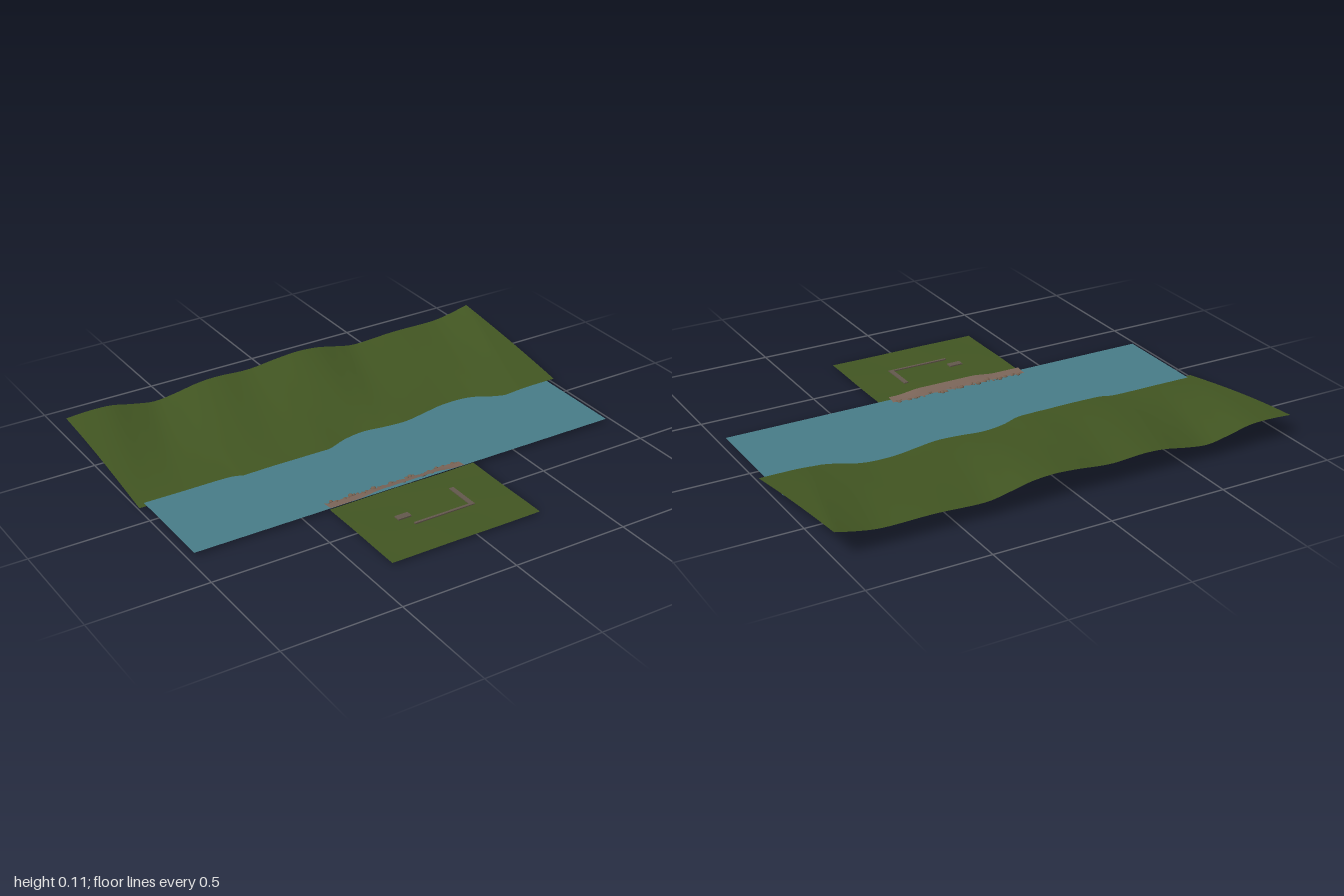
import * as THREE from 'three';

const WATER = 0.015;
const mat = (name, color, sheet) => {
  const m = new THREE.MeshStandardMaterial({ color });
  m.name = name;
  if (sheet) m.side = THREE.DoubleSide;
  return m;
};

// Smooth height lookup through a few [x, value] points
function curve(points) {
  const c = new THREE.SplineCurve(points.map(([x, y]) => new THREE.Vector2(x, y)));
  const table = c.getPoints(400);
  return (x) => {
    const i = Math.max(1, table.findIndex((p) => p.x >= x));
    if (x >= table[400].x) return table[400].y;
    const a = table[i - 1], b = table[i];
    return a.y + (b.y - a.y) * THREE.MathUtils.clamp((x - a.x) / (b.x - a.x || 1), 0, 1);
  };
}

// Flat grid whose vertices are raised by a rule
function terrain(x0, x1, z0, z1, nx, nz, height) {
  const g = new THREE.PlaneGeometry(x1 - x0, z1 - z0, nx, nz);
  g.rotateX(-Math.PI / 2);
  g.translate((x0 + x1) / 2, 0, (z0 + z1) / 2);
  const p = g.attributes.position;
  for (let i = 0; i < p.count; i++) p.setY(i, height(p.getX(i), p.getZ(i)));
  g.computeVertexNormals();
  return g;
}

export function createModel() {
  const group = new THREE.Group();
  const grass = mat('grass green', 0x425622, true);
  const water = mat('river blue', 0x487d88, true);
  const earth = mat('bank brown', 0x7c665a, true);
  const stone = mat('stone brown', 0x76604f);
  const wall = mat('wall grey', 0x63584c);

  const add = (name, geometry, material, parent = group) => {
    const mesh = new THREE.Mesh(geometry, material);
    mesh.name = name;
    parent.add(mesh);
    return mesh;
  };

  let seed = 7;
  const rand = () => {
    seed = (seed * 16807) % 2147483647;
    return seed / 2147483647;
  };

  // Far hillside: rises from the shoreline to a wavy crest
  const crest = curve([[-1, 0.098], [-0.9, 0.104], [-0.8, 0.101], [-0.7, 0.08], [-0.6, 0.064],
    [-0.5, 0.075], [-0.4, 0.093], [-0.3, 0.099], [-0.15, 0.092], [0, 0.107], [0.1, 0.113],
    [0.2, 0.106], [0.3, 0.085], [0.4, 0.07], [0.6, 0.079], [0.8, 0.078], [0.9, 0.09], [1, 0.112]]);
  const shore = curve([[-1, 0.112], [-0.8, 0.11], [-0.6, 0.108], [-0.53, 0.088], [-0.4, 0.075],
    [-0.3, 0.08], [-0.15, 0.09], [-0.05, 0.126], [0.05, 0.141], [0.15, 0.128], [0.25, 0.122],
    [0.35, 0.14], [0.45, 0.16], [0.55, 0.162], [0.62, 0.146], [0.68, 0.112], [0.76, 0.082],
    [0.85, 0.05], [1, 0.05]]);
  add('hillside', terrain(-1, 1, -0.76, -0.09, 100, 34, (x, z) => {
    const d = shore(x);
    const u = (-z - d) / (0.76 - d);
    const top = crest(Math.min(1, x + 0.2 * (1 - Math.max(0, u))));
    return Math.max(0.01, WATER + (top - WATER) * u * (1.25 - 0.25 * u));
  }), grass);

  // River
  add('river', terrain(-0.97, 0.97, -0.25, 0.31, 1, 1, () => WATER), water);

  // Near meadow, almost flat
  add('meadow', terrain(-0.385, 0.29, 0.31, 0.755, 16, 12,
    (x, z) => 0.012 + 0.001 * Math.sin(x * 14) * Math.sin(z * 16)), grass);

  // Sloping river bank, highest in the middle, with a ragged foot
  const bank = terrain(-0.385, 0.24, 0.275, 0.32, 40, 4, (x, z) => {
    const t = (z - 0.275) / 0.045;
    const mid = THREE.MathUtils.smoothstep(0.24 - Math.abs(x + 0.03), 0, 0.12);
    return 0.017 + t * (0.006 + 0.011 * mid);
  });
  const p = bank.attributes.position;
  for (let i = 0; i < p.count; i++) {
    if (p.getZ(i) < 0.28) p.setZ(i, p.getZ(i) + (rand() - 0.5) * 0.012);
  }
  bank.computeVertexNormals();
  add('riverBank', bank, earth);

  // Loose stones along the water's edge
  const stones = new THREE.Group();
  stones.name = 'bankStones';
  group.add(stones);
  const pebble = new THREE.IcosahedronGeometry(1, 1);
  for (let i = 0; i < 46; i++) {
    const r = 0.005 + rand() * 0.005;
    const s = add('stone', pebble, stone, stones);
    s.scale.set(r * 1.2, r * 0.8, r);
    s.position.set(-0.37 + 0.6 * (i + rand()) / 46, 0.0085 + rand() * 0.009, 0.268 + rand() * 0.022);
    s.rotation.y = rand() * 6;
  }

  // Low ruined walls: [name, x0, x1, z0, z1]
  [['longWall', -0.165, 0.11, 0.566, 0.577],
    ['sideWall', 0.09, 0.11, 0.43, 0.566],
    ['hearthBlock', -0.205, -0.145, 0.49, 0.52]].forEach(([name, x0, x1, z0, z1]) => {
    add(name, new THREE.BoxGeometry(x1 - x0, 0.008, z1 - z0), wall)
      .position.set((x0 + x1) / 2, 0.0125, (z0 + z1) / 2);
  });

  return group;
}
